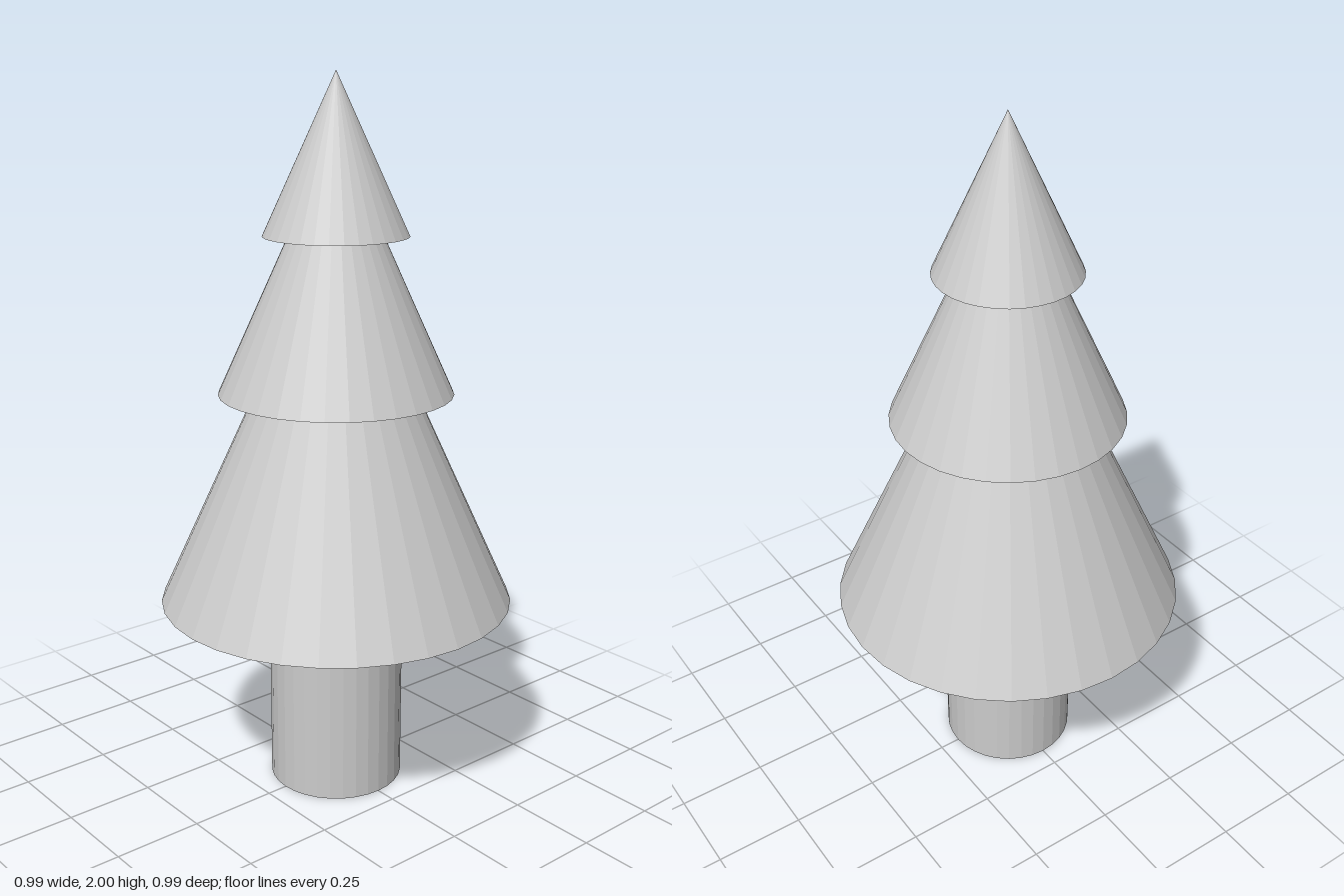
import * as THREE from 'three';

const SIDES = 32;
const material = new THREE.MeshStandardMaterial({ color: 0xcccccc, flatShading: true });

// Adds a faceted solid whose base sits at height y
function addPart(group, name, geometry, height, y) {
  const mesh = new THREE.Mesh(geometry, material);
  mesh.name = name;
  mesh.position.y = y + height / 2;
  group.add(mesh);
}

export function createModel() {
  const tree = new THREE.Group();
  tree.name = 'tree';

  // Trunk
  addPart(tree, 'trunk', new THREE.CylinderGeometry(0.19, 0.19, 0.55, SIDES), 0.55, 0);

  // Three nested cones of foliage
  const tiers = [
    { name: 'lowerFoliage', radius: 0.496, base: 0.55, apex: 1.63 },
    { name: 'middleFoliage', radius: 0.324, base: 1.145, apex: 1.855 },
    { name: 'upperFoliage', radius: 0.198, base: 1.573, apex: 2 },
  ];
  for (const { name, radius, base, apex } of tiers) {
    const height = apex - base;
    addPart(tree, name, new THREE.ConeGeometry(radius, height, SIDES), height, base);
  }
  return tree;
}
